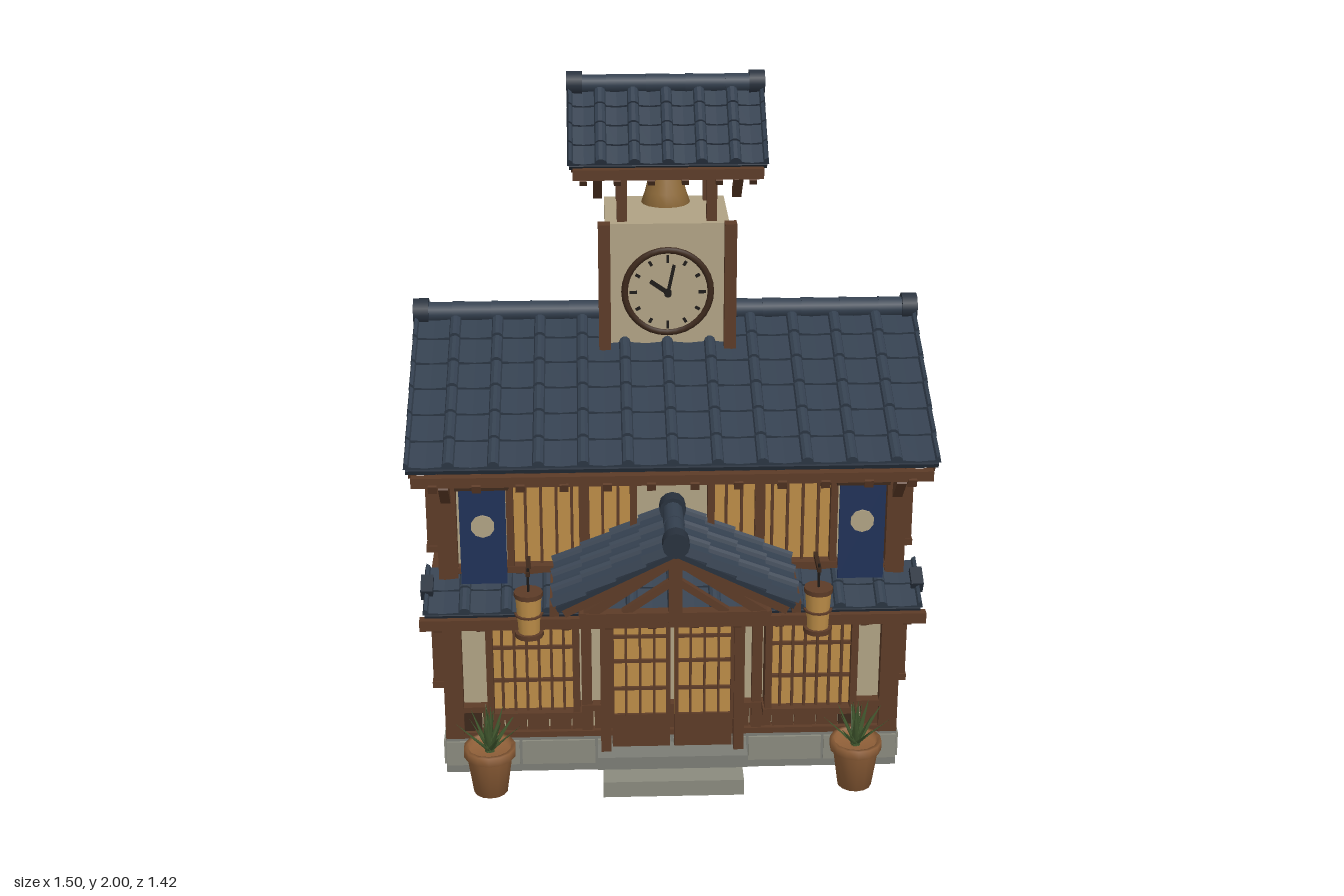
import * as THREE from 'three';

const mat = (color) => new THREE.MeshStandardMaterial({ color });
const tile = mat(0x34404f), slate = mat(0x28313d), wood = mat(0x5c3b27), darkWood = mat(0x3c281b), plaster = mat(0xb0a284),
  amber = mat(0xbb8c47), stone = mat(0x7b7c75), stoneLight = mat(0x8a8a7e), navy = mat(0x203158), clay = mat(0x8f5f38),
  bronze = mat(0x8f6b3a), leaf = mat(0x42592f), black = mat(0x1d1a18);
leaf.side = THREE.DoubleSide;
const MID = -0.08; // z of the house centre line

let seed = 7;
const rnd = () => (seed = (seed * 16807) % 2147483647) / 2147483647;

function add(parent, name, geo, m, x = 0, y = 0, z = 0) {
  const mesh = new THREE.Mesh(geo, m);
  mesh.name = name;
  mesh.position.set(x, y, z);
  parent.add(mesh);
  return mesh;
}
const box = (p, name, m, w, h, d, x, y, z) => add(p, name, new THREE.BoxGeometry(w, h, d), m, x, y, z);

function group(parent, name, x = 0, y = 0, z = 0, ry = 0) {
  const g = new THREE.Group();
  g.name = name;
  g.position.set(x, y, z);
  g.rotation.y = ry;
  parent.add(g);
  return g;
}

// Square timber between two points
function beam(parent, name, m, a, b, t) {
  const p = new THREE.Vector3(...a), q = new THREE.Vector3(...b);
  const mesh = new THREE.Mesh(new THREE.BoxGeometry(t, t, p.distanceTo(q)), m);
  mesh.name = name;
  mesh.position.copy(p).add(q).multiplyScalar(0.5);
  mesh.lookAt(q);
  parent.add(mesh);
}

// Overlapping tile courses running down local +z from the ridge line
function tiledSlope(parent, width, run, drop, cols, rows) {
  const g = group(parent, 'tiledSlope');
  g.rotation.x = Math.atan2(drop, run);
  const len = Math.hypot(run, drop), step = len / rows, pitch = width / cols, r = Math.min(0.017, pitch * 0.2);
  const s = new THREE.Shape();
  s.moveTo(-width / 2, 0);
  s.lineTo(width / 2, 0);
  for (let i = cols; i >= 0; i--) {
    const cx = -width / 2 + i * pitch;
    for (let k = 0; k <= 5; k++) {
      const x = cx + r * Math.cos(k * Math.PI / 5);
      if (Math.abs(x) <= width / 2 + 1e-6) s.lineTo(x, 0.009 + r * Math.sin(k * Math.PI / 5));
    }
    if (i > 0) s.lineTo(cx - pitch / 2, 0.005);
  }
  s.closePath();
  const geo = new THREE.ExtrudeGeometry(s, { depth: step * 1.06, bevelEnabled: false });
  for (let i = 0; i < rows; i++) add(g, 'tileCourse', geo, tile, 0, 0, i * step - 0.002).rotation.x = -0.1;
  box(g, 'roofDeck', slate, width - 0.01, 0.014, len, 0, -0.007, len / 2);
  return g;
}

// Gable roof, ridge along local x at y = 0
function gableRoof(parent, name, width, run, drop, cols, rows, ridgeR) {
  const g = group(parent, name);
  for (const ry of [0, Math.PI]) {
    const side = group(g, 'roofSide', 0, 0, 0, ry);
    const slope = tiledSlope(side, width, run, drop, cols, rows), len = Math.hypot(run, drop);
    for (const s of [-1, 1]) box(slope, 'bargeBoard', wood, 0.022, 0.028, len - 0.02, s * (width / 2 - 0.022), -0.026, len / 2);
  }
  const n = Math.round(width / 0.12), seg = width / n;
  for (let i = 0; i < n; i++) {
    const end = i === 0 || i === n - 1;
    add(g, 'ridgeTile', new THREE.CylinderGeometry(ridgeR, ridgeR * 0.92, seg, 12), tile, -width / 2 + (i + 0.5) * seg, 0.018, 0).rotation.z = Math.PI / 2;
    if (end) add(g, 'ridgeEnd', new THREE.CylinderGeometry(ridgeR * 1.25, ridgeR * 1.25, 0.045, 12), slate,
      (i ? 1 : -1) * (width / 2 - 0.022), 0.02, 0).rotation.z = Math.PI / 2;
  }
  return g;
}

// Projecting lattice window, facing local +z
function latticeWindow(parent, x, y, w, h, bars, rails, depth = 0.07) {
  const g = group(parent, 'latticeWindow', x, y, 0);
  box(g, 'paperPane', amber, w, h, depth - 0.03, 0, 0, (depth - 0.03) / 2);
  for (let i = 1; i < bars; i++) box(g, 'windowBar', wood, 0.008, h, 0.012, -w / 2 + i * w / bars, 0, depth - 0.022);
  for (let i = 1; i <= rails; i++) box(g, 'windowRail', wood, w, 0.009, 0.012, 0, -h / 2 + i * h / (rails + 1), depth - 0.026);
  for (const s of [-1, 1]) {
    box(g, 'windowStile', wood, 0.02, h + 0.02, depth, s * w / 2, 0, depth / 2);
    box(g, 'windowSill', wood, w + 0.03, 0.02, depth + 0.006, 0, s * h / 2, depth / 2);
  }
}

// Plank band, beams and posts shared by every wall, facing local +z
function wallTimber(g, w, postXs) {
  for (const [y, h] of [[0.165, 0.09], [0.625, 0.09]]) {
    const n = Math.round(w / 0.065);
    for (let i = 0; i < n; i++)
      box(g, 'plank', rnd() < 0.2 ? darkWood : wood, w / n - 0.004, h, 0.016 + rnd() * 0.006, -w / 2 + (i + 0.5) * w / n, y, 0.008);
  }
  for (const y of [0.13, 0.215, 0.55, 0.67, 0.98]) box(g, 'wallBeam', wood, w, y === 0.98 || y === 0.55 ? 0.035 : 0.018, 0.035, 0, y, 0.014);
  for (const x of postXs) box(g, 'wallPost', wood, 0.03, 0.86, 0.028, x, 0.55, 0.012);
}

// King-post truss in the local xy plane, apex at y = 0
function truss(g, run, drop, t, z) {
  box(g, 'kingPost', wood, t * 1.1, drop + 0.02, t, 0, -drop / 2 - 0.02, z);
  box(g, 'tieBeam', wood, run * 2, t * 0.8, t, 0, -drop - 0.01, z);
  for (const s of [-1, 1]) {
    beam(g, 'trussRafter', wood, [0, -0.035, z], [s * run, -drop - 0.015, z], t * 0.8);
    beam(g, 'trussStrut', wood, [0, -drop * 0.5, z], [s * run * 0.55, -drop, z], t * 0.6);
  }
}

function lantern(parent, x) {
  const g = group(parent, 'lantern', x, 0.59, 0.545);
  add(g, 'lanternBody', new THREE.CylinderGeometry(0.037, 0.031, 0.115, 12), amber);
  for (const y of [-0.062, 0, 0.062]) add(g, 'lanternBand', new THREE.CylinderGeometry(0.041, 0.041, y ? 0.014 : 0.005, 12), wood, 0, y);
  add(g, 'lanternCord', new THREE.CylinderGeometry(0.004, 0.004, 0.08, 6), black, 0, 0.1);
  beam(g, 'lanternArm', darkWood, [0, 0.125, 0.01], [0, 0.125, -0.1], 0.012);
}

function pottedPlant(parent, x) {
  const g = group(parent, 'pottedPlant', x, 0, 0.52);
  const profile = [[0, 0], [0.05, 0], [0.067, 0.12], [0.076, 0.12], [0.076, 0.148], [0.064, 0.148], [0.06, 0.13], [0, 0.13]];
  add(g, 'pot', new THREE.LatheGeometry(profile.map(p => new THREE.Vector2(...p)), 14), clay);
  const blade = new THREE.ConeGeometry(0.014, 0.14, 4).scale(1, 1, 0.35).translate(0, 0.07, 0);
  for (let i = 0; i < 18; i++) {
    const b = add(g, 'leafBlade', blade, leaf, 0, 0.13, 0);
    b.rotation.set(0.12 + (i % 3) * 0.33, i * 2.4, 0, 'YXZ');
  }
}

export function createModel() {
  const root = new THREE.Group();
  root.name = 'clockTowerHouse';

  // Stone foundation and steps
  box(root, 'foundation', stone, 1.34, 0.12, 1.0, 0, 0.06, MID);
  for (const s of [-1, 1]) for (let i = 0; i < 6; i++) {
    box(root, 'foundationStone', stoneLight, 0.216, 0.078, 0.01, -0.56 + i * 0.224, 0.066, MID + s * 0.502);
    if (i < 5) box(root, 'foundationStone', stoneLight, 0.01, 0.078, 0.19, s * 0.671, 0.066, MID - 0.4 + i * 0.2);
  }
  box(root, 'lowerStep', stoneLight, 0.41, 0.05, 0.17, 0, 0.025, 0.49);
  box(root, 'upperStep', stone, 0.44, 0.04, 0.09, 0, 0.07, 0.46);

  // Plaster core and corner posts
  box(root, 'walls', plaster, 1.25, 0.88, 0.96, 0, 0.56, MID);
  for (const sx of [-1, 1]) for (const sz of [-1, 1])
    box(root, 'cornerPost', wood, 0.055, 0.87, 0.055, sx * 0.64, 0.555, MID + sz * 0.485);

  // Front wall, door, windows and banners
  const front = group(root, 'frontWall', 0, 0, MID + 0.48);
  wallTimber(front, 1.25, [-0.25, 0.25]);
  for (const s of [-1, 1]) {
    latticeWindow(front, s * 0.405, 0.375, 0.25, 0.32, 7, 2);
    latticeWindow(front, s * 0.285, 0.82, 0.35, 0.28, 8, 0, 0.045);
    box(front, 'banner', navy, 0.13, 0.3, 0.008, s * 0.535, 0.805, 0.08);
    box(front, 'bannerRod', darkWood, 0.15, 0.014, 0.09, s * 0.535, 0.955, 0.05);
    add(front, 'bannerDisc', new THREE.CylinderGeometry(0.034, 0.034, 0.006, 10), plaster, s * 0.535, 0.835, 0.086).rotation.x = Math.PI / 2;
    box(front, 'doorPost', wood, 0.03, 0.46, 0.07, s * 0.195, 0.32, 0.035);
    box(front, 'doorPanel', wood, 0.17, 0.1, 0.03, s * 0.091, 0.145, 0.035);
    box(front, 'doorPaper', amber, 0.17, 0.34, 0.03, s * 0.091, 0.365, 0.03);
    for (let i = 0; i < 5; i++) box(front, 'doorBar', wood, i % 4 ? 0.007 : 0.012, 0.36, 0.012, s * (0.012 + i * 0.041), 0.365, 0.05);
    for (const y of [0.2, 0.29, 0.38, 0.46]) box(front, 'doorRail', wood, 0.17, 0.009, 0.012, s * 0.091, y, 0.048);
  }
  box(front, 'doorLintel', wood, 0.42, 0.035, 0.075, 0, 0.54, 0.037);

  // Back and side walls
  const back = group(root, 'backWall', 0, 0, MID - 0.48, Math.PI);
  wallTimber(back, 1.25, [-0.12, 0.12, -0.51, 0.51]);
  for (const s of [-1, 1]) for (const y of [0.375, 0.825]) {
    latticeWindow(back, s * 0.315, y, 0.33, 0.31, 9, 2);
    const side = group(root, 'sideWall', s * 0.625, 0, MID, s * Math.PI / 2);
    for (const t of [-1, 1]) latticeWindow(side, t * 0.195, y, 0.31, 0.31, 9, 2, 0.085);
    if (y < 0.5) wallTimber(side, 0.94, [-0.43, 0.43]);
  }

  // Gable ends
  const tri = new THREE.Shape([[-0.5, 0], [0.5, 0], [0, 0.235]].map(p => new THREE.Vector2(...p)));
  for (const s of [-1, 1]) {
    const g = group(root, 'gableEnd', s * 0.61, 0, MID, s * Math.PI / 2);
    add(g, 'gablePlaster', new THREE.ExtrudeGeometry(tri, { depth: 0.015, bevelEnabled: false }), plaster, 0, 0.995, 0);
    const t = group(g, 'gableTruss', 0, 1.245, 0);
    truss(t, 0.52, 0.25, 0.045, 0.035);
  }

  // Main roof, skirt roofs and their eave timbers
  gableRoof(root, 'mainRoof', 1.5, 0.565, 0.255, 12, 6, 0.032).position.set(0, 1.26, MID);
  for (const ry of [0, Math.PI]) {
    const g = group(root, 'eaves', 0, 0, MID, ry);
    const skirt = group(g, 'skirtRoof', 0, 0.655, 0.47);
    tiledSlope(skirt, 1.42, 0.145, 0.075, 12, 2);
    for (const s of [-1, 1]) box(g, 'skirtEnd', slate, 0.035, 0.04, 0.06, s * 0.7, 0.635, 0.54).rotation.x = 0.48;
    box(g, 'mainPurlin', wood, 1.46, 0.03, 0.025, 0, 0.975, 0.57);
    box(g, 'skirtPurlin', wood, 1.44, 0.032, 0.028, 0, 0.555, 0.615);
    for (let i = 0; i < 12; i++) {
      const x = -0.67 + i * 1.34 / 11;
      beam(g, 'mainRafterTail', wood, [x, 1.0, 0.47], [x, 0.955, 0.585], 0.025);
      beam(g, 'skirtRafterTail', wood, [x, 0.59, 0.47], [x, 0.535, 0.61], 0.024);
    }
    for (const s of [-1, 1]) beam(g, 'eaveBrace', wood, [s * 0.64, 0.88, 0.49], [s * 0.64, 0.965, 0.575], 0.028);
  }

  // Entrance porch
  const porch = group(root, 'porch', 0, 0.85, 0.57);
  gableRoof(porch, 'porchRoof', 0.28, 0.33, 0.165, 3, 4, 0.03).rotation.y = Math.PI / 2;
  truss(porch, 0.26, 0.2, 0.034, 0.095);
  for (const s of [-1, 1]) {
    box(porch, 'porchPurlin', wood, 0.025, 0.035, 0.2, s * 0.335, -0.185, 0.01);
    box(porch, 'porchPlate', wood, 0.03, 0.03, 0.26, s * 0.25, -0.21, -0.02);
    beam(porch, 'porchBrace', wood, [s * 0.25, -0.29, -0.14], [s * 0.25, -0.2, 0.08], 0.028);
    for (const z of [-0.05, 0.03]) beam(porch, 'porchRafter', wood, [s * 0.22, -0.15, z], [s * 0.345, -0.21, z], 0.022);
    lantern(root, s * 0.41);
    pottedPlant(root, s * 0.535);
  }

  // Clock tower
  const tower = group(root, 'clockTower', 0, 0, -0.105);
  box(tower, 'towerWalls', plaster, 0.36, 0.5, 0.29, 0, 1.33, 0);
  for (const s of [-1, 1]) box(tower, 'towerPost', wood, 0.035, 0.4, 0.04, s * 0.183, 1.385, 0.155);
  const clock = group(tower, 'clock', 0, 1.385, 0.15);
  add(clock, 'clockFace', new THREE.CylinderGeometry(0.125, 0.125, 0.03, 32), plaster, 0, 0, 0.015).rotation.x = Math.PI / 2;
  add(clock, 'clockRim', new THREE.TorusGeometry(0.125, 0.01, 8, 32), darkWood, 0, 0, 0.028);
  for (let i = 0; i < 12; i++) {
    const a = i * Math.PI / 6;
    box(clock, 'hourMark', black, 0.008, i % 3 ? 0.014 : 0.022, 0.008, Math.sin(a) * 0.1, Math.cos(a) * 0.1, 0.032).rotation.z = -a;
  }
  beam(clock, 'hourHand', black, [0, 0, 0.04], [-0.05, 0.035, 0.04], 0.011);
  beam(clock, 'minuteHand', black, [0, 0, 0.045], [0.018, 0.085, 0.045], 0.009);
  add(clock, 'clockHub', new THREE.CylinderGeometry(0.011, 0.011, 0.02, 10), black, 0, 0, 0.042).rotation.x = Math.PI / 2;

  // Belfry with bell
  gableRoof(tower, 'belfryRoof', 0.57, 0.215, 0.17, 6, 4, 0.028).position.y = 1.94;
  for (const sx of [-1, 1]) for (const sz of [-1, 1]) {
    box(tower, 'belfryPost', wood, 0.03, 0.22, 0.03, sx * 0.13, 1.67, sz * 0.107);
    beam(tower, 'belfryBrace', wood, [sx * 0.2, 1.665, sz * 0.13], [sx * 0.2, 1.74, sz * 0.215], 0.026);
  }
  for (const s of [-1, 1]) {
    box(tower, 'belfryPurlin', wood, 0.54, 0.03, 0.025, 0, 1.75, s * 0.225);
    box(tower, 'belfryPlate', wood, 0.44, 0.028, 0.028, 0, 1.775, s * 0.107);
    for (let i = 0; i < 6; i++) beam(tower, 'belfryRafter', wood, [-0.24 + i * 0.096, 1.795, s * 0.15], [-0.24 + i * 0.096, 1.725, s * 0.235], 0.02);
  }
  box(tower, 'bellBeam', wood, 0.29, 0.028, 0.028, 0, 1.785, 0);
  add(tower, 'bellHanger', new THREE.CylinderGeometry(0.006, 0.006, 0.07, 8), black, 0, 1.745, 0);
  const bell = [[0, 0.02], [0.06, 0], [0.072, 0], [0.06, 0.035], [0.044, 0.1], [0.035, 0.113], [0, 0.115]];
  add(tower, 'bell', new THREE.LatheGeometry(bell.map(p => new THREE.Vector2(...p)), 16), bronze, 0, 1.605, 0);
  return root;
}
